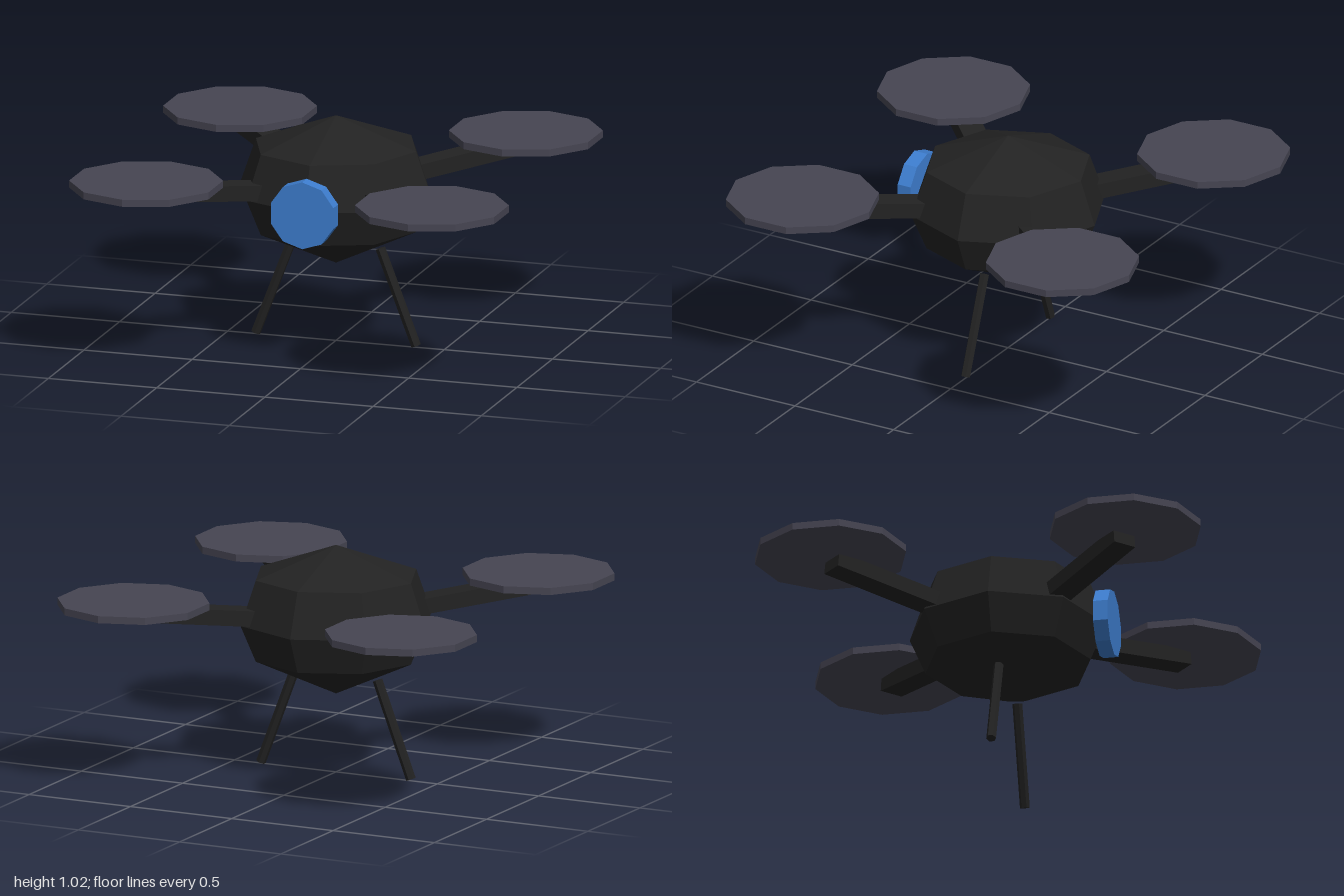
import * as THREE from 'three';

const mat = (name, color) => {
  const m = new THREE.MeshStandardMaterial({ color, flatShading: true });
  m.name = name;
  return m;
};

export function createModel() {
  const black = mat('black shell', 0x222222);
  const grey = mat('rotor grey', 0x464552);
  const blue = mat('lens blue', 0x3d7dce);

  const model = new THREE.Group();
  model.name = 'quadcopter';
  const add = (name, geometry, material, parent = model) => {
    const mesh = new THREE.Mesh(geometry, material);
    mesh.name = name;
    parent.add(mesh);
    return mesh;
  };

  // Faceted eight-sided hull
  const profile = [[0, 0.355], [0.37, 0.525], [0.44, 0.69], [0.37, 0.89], [0, 1.025]]
    .map(([r, y]) => new THREE.Vector2(r, y));
  add('body', new THREE.LatheGeometry(profile, 8), black);

  // Round camera on the nose
  const lens = add('camera', new THREE.CylinderGeometry(0.152, 0.152, 0.066, 10), blue);
  lens.rotation.x = Math.PI / 2;
  lens.position.set(0, 0.69, 0.443);

  // Four rising arms, each under a rotor disc
  const armGeo = new THREE.BoxGeometry(0.11, 0.07, 1);
  const discGeo = new THREE.CylinderGeometry(0.338, 0.338, 0.032, 10);
  for (const sx of [-1, 1]) {
    for (const sz of [-1, 1]) {
      const start = new THREE.Vector3(sx * 0.2, 0.718, sz * 0.2);
      const end = new THREE.Vector3(sx * 0.655, 0.789, sz * 0.655);
      const arm = add('arm', armGeo, black);
      arm.position.lerpVectors(start, end, 0.5);
      arm.lookAt(end);
      arm.scale.z = start.distanceTo(end);

      const disc = add('rotorDisc', discGeo, grey);
      disc.position.set(sx * 0.66, 0.826, sz * 0.66);
    }
  }

  // Two splayed landing legs
  const up = new THREE.Vector3(0, 1, 0);
  for (const sx of [-1, 1]) {
    const top = new THREE.Vector3(sx * 0.205, 0.437, 0);
    const foot = new THREE.Vector3(sx * 0.37, 0.008, 0);
    const leg = add('landingLeg', new THREE.CylinderGeometry(0.022, 0.022, top.distanceTo(foot), 6), black);
    leg.position.lerpVectors(top, foot, 0.5);
    leg.quaternion.setFromUnitVectors(up, top.clone().sub(foot).normalize());
  }

  return model;
}
